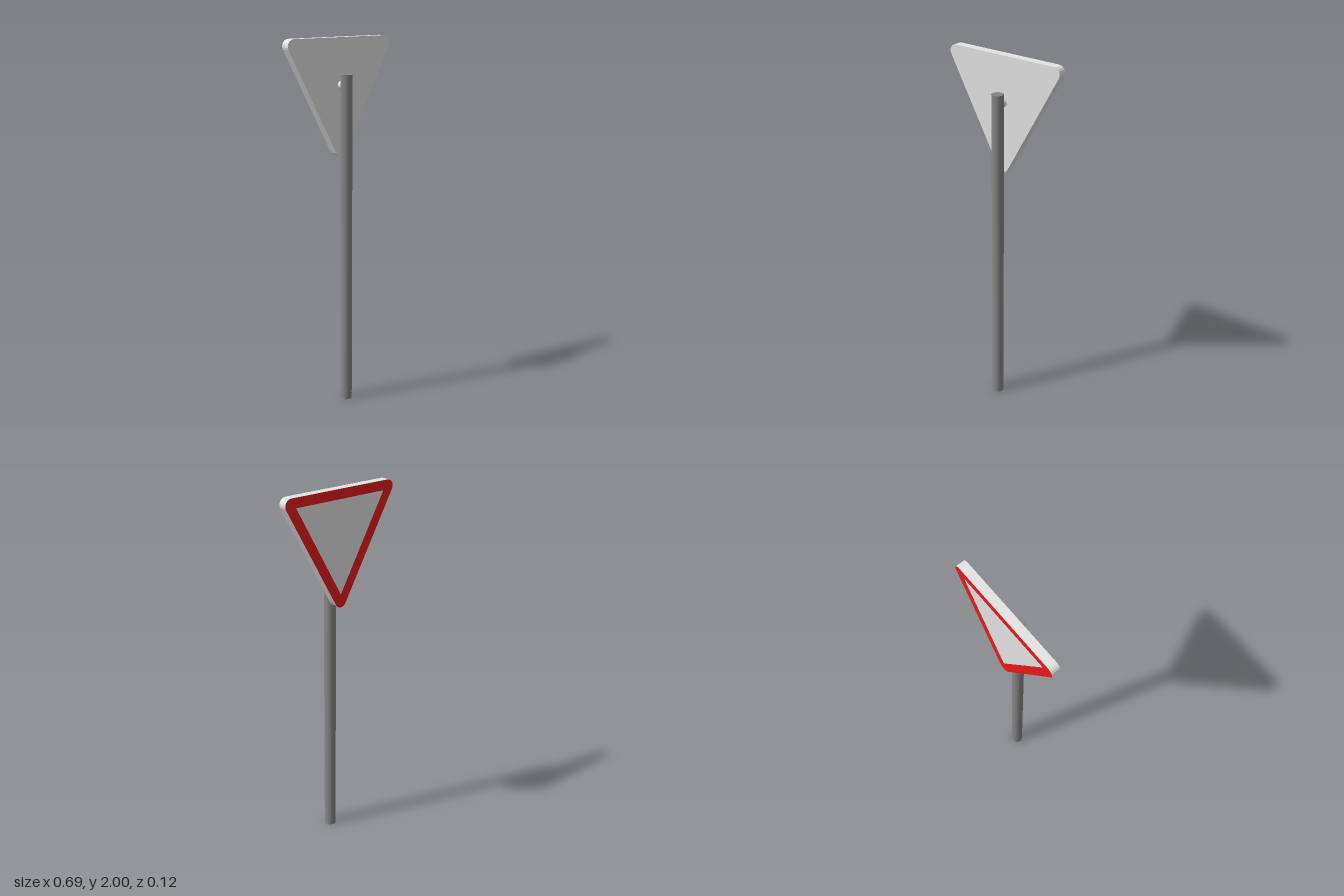
import * as THREE from 'three';

const CORNER_X = 0.308, TOP_Y = 1.964, LOW_Y = 1.409, RADIUS = 0.036;
const PLATE_BACK = -0.0615, PLATE_FRONT = -0.014;

// Downward-pointing triangle with rounded corners
function roundedTriangle() {
  const side = Math.atan2(CORNER_X, TOP_Y - LOW_Y); // tilt of the sloping edges
  const corners = [
    [CORNER_X, TOP_Y, -side, Math.PI / 2],
    [-CORNER_X, TOP_Y, Math.PI / 2, Math.PI + side],
    [0, LOW_Y, Math.PI + side, 2 * Math.PI - side],
  ];
  const steps = 6, points = [];
  for (const [x, y, from, to] of corners) {
    for (let i = 0; i <= steps; i++) {
      const a = from + (to - from) * i / steps;
      points.push(new THREE.Vector2(x + RADIUS * Math.cos(a), y + RADIUS * Math.sin(a)));
    }
  }
  return new THREE.Shape(points);
}

export function createModel() {
  const model = new THREE.Group();
  model.name = 'yieldSign';

  const lightGrey = new THREE.MeshStandardMaterial({ color: 0xe4e4e4 });
  lightGrey.name = 'light grey';
  const darkGrey = new THREE.MeshStandardMaterial({ color: 0x868686 });
  darkGrey.name = 'dark grey';
  const red = new THREE.MeshStandardMaterial({ color: 0xe81b1b });
  red.name = 'red';

  const add = (name, geometry, material) => {
    const mesh = new THREE.Mesh(geometry, material);
    mesh.name = name;
    model.add(mesh);
    return mesh;
  };

  // Post
  add('post', new THREE.CylinderGeometry(0.032, 0.032, 1.81, 32), darkGrey)
    .position.set(0, 0.905, 0.029);

  // Short round bracket between post and plate
  const bracket = add('bracket', new THREE.CylinderGeometry(0.023, 0.023, 0.04, 24), lightGrey);
  bracket.rotation.x = Math.PI / 2;
  bracket.position.set(0, 1.753, 0.002);

  // Sign plate
  const plate = new THREE.ExtrudeGeometry(roundedTriangle(), {
    depth: PLATE_FRONT - PLATE_BACK, bevelEnabled: false,
  });
  add('signPlate', plate, lightGrey).position.z = PLATE_BACK;

  // Red border painted on the sign face, with a sharp-cornered opening
  const border = roundedTriangle();
  border.holes.push(new THREE.Path([
    new THREE.Vector2(-0.28, 1.948),
    new THREE.Vector2(0, 1.444),
    new THREE.Vector2(0.28, 1.948),
  ]));
  const redBorder = add('redBorder', new THREE.ShapeGeometry(border), red);
  redBorder.rotation.y = Math.PI; // faces backwards
  redBorder.position.z = PLATE_BACK - 0.0008;

  return model;
}
